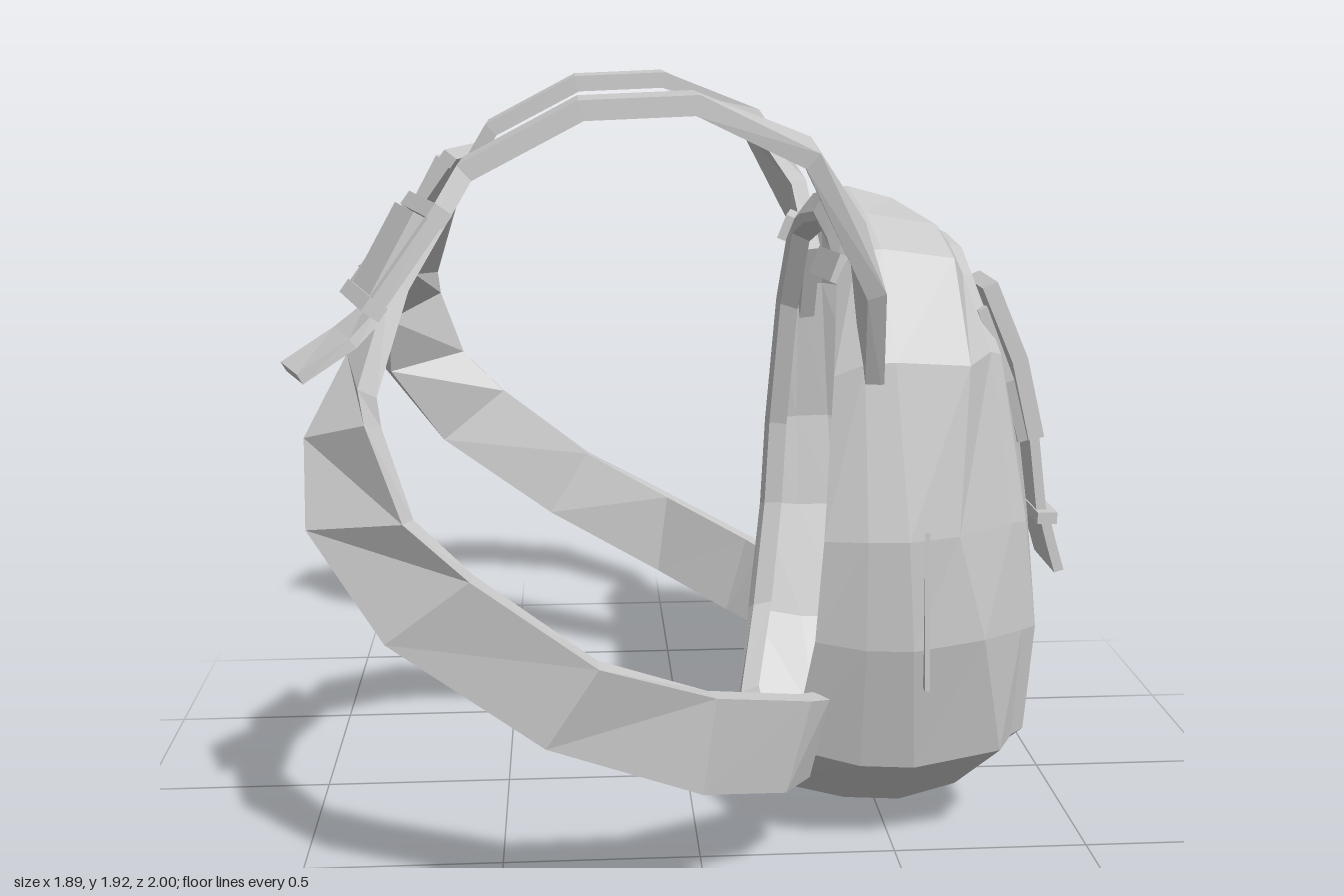
import * as THREE from 'three';

const material = new THREE.MeshStandardMaterial({ color: 0xcccccc, flatShading: true, side: THREE.DoubleSide });
const V = (x, y, z) => new THREE.Vector3(x, y, z);

// Piecewise-linear lookup in a short list of [input, output] pairs
function curve(points, t) {
  if (t <= points[0][0]) return points[0][1];
  for (let i = 1; i < points.length; i++) {
    const [t0, v0] = points[i - 1], [t1, v1] = points[i];
    if (t <= t1) return v0 + (v1 - v0) * (t - t0) / (t1 - t0);
  }
  return points[points.length - 1][1];
}

// Skin between closed rings of points, with optional end caps for four-sided rings
function loft(rings, capped) {
  const pos = [];
  const tri = (...pts) => pts.forEach(p => pos.push(p.x, p.y, p.z));
  for (let i = 0; i < rings.length - 1; i++) {
    const r = rings[i], q = rings[i + 1], n = r.length;
    for (let j = 0; j < n; j++) {
      const k = (j + 1) % n;
      tri(r[j], q[j], q[k]);
      tri(r[j], q[k], r[k]);
    }
  }
  if (capped) {
    const a = rings[0], b = rings[rings.length - 1];
    tri(a[0], a[1], a[2]); tri(a[0], a[2], a[3]);
    tri(b[0], b[2], b[1]); tri(b[0], b[3], b[2]);
  }
  const geometry = new THREE.BufferGeometry();
  geometry.setAttribute('position', new THREE.Float32BufferAttribute(pos, 3));
  geometry.computeVertexNormals();
  return geometry;
}

// Flat band between two edge lines; each section is [edgeA, edgeB]
function ribbon(sections, thickness) {
  const mids = sections.map(([a, b]) => a.clone().add(b).multiplyScalar(0.5));
  const rings = sections.map(([a, b], i) => {
    const along = mids[Math.min(i + 1, mids.length - 1)].clone().sub(mids[Math.max(i - 1, 0)]);
    const n = along.cross(b.clone().sub(a)).normalize().multiplyScalar(thickness / 2);
    return [a.clone().add(n), b.clone().add(n), b.clone().sub(n), a.clone().sub(n)];
  });
  return loft(rings, true);
}

function add(parent, name, geometry, x = 0, y = 0, z = 0, rz = 0) {
  const mesh = new THREE.Mesh(geometry, material);
  mesh.name = name;
  mesh.position.set(x, y, z);
  mesh.rotation.z = rz;
  parent.add(mesh);
  return mesh;
}
const box = (x, y, z) => new THREE.BoxGeometry(x, y, z);

// Bag profiles: outer face by height, drop toward the sides, sloping back rim
const FACE = [[0, 0.55], [0.05, 0.7], [0.32, 0.895], [0.5, 0.92], [0.8, 0.895], [1.05, 0.86], [1.25, 0.81], [1.5, 0.7], [1.6, 0.6], [1.65, 0.42]];
const DROP = [[0, 0], [0.27, 0.02], [0.5, 0.08], [0.6, 0.19], [0.68, 0.4]];
const RIM = [[0.07, 0.18], [0.15, 0.165], [0.28, 0.22], [0.5, 0.26], [1.2, 0.3], [1.55, 0.33]];
const faceX = (y, z) => curve(FACE, y) - curve(DROP, Math.abs(z));

// Half outlines [height, half width] of the body and of its squarer front pocket
const BODY = [[0, 0], [0.05, 0.3], [0.26, 0.57], [0.6, 0.66], [0.88, 0.68], [1.3, 0.62], [1.55, 0.5], [1.61, 0.28], [1.65, 0]];
const POCKET = [[0.09, 0], [0.12, 0.28], [0.3, 0.47], [0.6, 0.52], [0.88, 0.53], [1.3, 0.5], [1.48, 0.43], [1.53, 0.24], [1.54, 0]];

function bagShell() {
  const ring = (half, sy, sz, xAt) =>
    [...half, ...half.slice(1, -1).reverse().map(([y, z]) => [y, -z])].map(([y, z]) => {
      const py = 0.83 + (y - 0.83) * sy, pz = z * sz;
      return V(xAt(py, pz), py, pz);
    });
  const rim = y => curve(RIM, y);
  return loft([
    ring(BODY, 0.86, 0.87, y => rim(y) + 0.06),       // rim folded into the open back
    ring(BODY, 0.89, 0.9, y => rim(y) + 0.01),
    ring(BODY, 0.92, 0.95, rim),
    ring(BODY, 0.99, 0.99, y => 0.4 - 0.02 * y),
    ring(BODY, 1, 1, y => 0.55 - 0.08 * y),
    ring(BODY, 0.96, 0.93, faceX),
    ring(POCKET, 1, 1, (y, z) => faceX(y, z) - 0.01),
    ring(POCKET, 0.98, 0.97, (y, z) => faceX(y, z) + 0.01), // raised front pocket
    ring(POCKET, 0.74, 0.8, faceX),
    ring(POCKET, 0.45, 0.45, faceX),
    ring(POCKET, 0, 0, faceX),
  ], false);
}

// Shoulder strap edges [xyz, xyz]; the band makes a quarter twist near its far end
const STRAP = [
  [0.40, 1.42, 0.49, 0.40, 1.20, 0.60],
  [0.36, 1.61, 0.53, 0.38, 1.47, 0.72],
  [0.23, 1.80, 0.56, 0.22, 1.78, 0.80],
  [-0.03, 1.90, 0.575, -0.03, 1.90, 0.81],
  [-0.28, 1.89, 0.575, -0.28, 1.89, 0.81],
  [-0.53, 1.76, 0.585, -0.53, 1.76, 0.81],
  [-0.67, 1.53, 0.62, -0.67, 1.53, 0.87],
  [-0.79, 1.34, 0.68, -0.74, 1.31, 0.93],
  [-0.88, 1.18, 0.79, -0.73, 1.24, 0.94],
  [-0.88, 1.00, 0.87, -0.66, 1.04, 0.98],
  [-0.72, 0.76, 0.94, -0.53, 0.91, 0.975],
  [-0.38, 0.51, 0.945, -0.26, 0.70, 0.96],
  [-0.03, 0.34, 0.84, 0.00, 0.58, 0.85],
  [0.18, 0.26, 0.67, 0.24, 0.49, 0.66],
  [0.25, 0.25, 0.56, 0.29, 0.47, 0.60],
];

function shoulderStrap(side) {
  const group = new THREE.Group();
  group.name = side > 0 ? 'frontShoulderStrap' : 'rearShoulderStrap';
  const sections = STRAP.map(([ax, ay, az, bx, by, bz]) => {
    const pair = [V(ax, ay, az * side), V(bx, by, bz * side)];
    return side > 0 ? pair : pair.reverse();
  });
  add(group, 'strapBand', ribbon(sections, 0.045));

  // Adjuster buckle: frame, middle pad and loose strap end
  const buckle = new THREE.Group();
  buckle.name = 'strapBuckle';
  buckle.position.set(-0.67, 1.565, 0.745 * side);
  buckle.rotation.set(0, 0.28 * side, Math.PI / 3.4, 'YXZ');
  group.add(buckle);
  for (const s of [-1, 1]) {
    add(buckle, 'buckleSide', box(0.25, 0.035, 0.03), 0, 0.025, s * 0.125);
    add(buckle, 'buckleEnd', box(0.035, 0.045, 0.28), s * 0.12, 0.025, 0);
  }
  add(buckle, 'bucklePad', box(0.2, 0.03, 0.21), 0, 0.04, 0, 0.12);
  add(group, 'looseEnd', ribbon([
    [V(-0.75, 1.46, 0.66 * side), V(-0.71, 1.47, 0.86 * side)],
    [V(-0.83, 1.40, 0.68 * side), V(-0.77, 1.41, 0.89 * side)],
    [V(-0.94, 1.335, 0.75 * side), V(-0.88, 1.34, 0.92 * side)],
  ], 0.025));
  return group;
}

function pocketStrap(side) {
  const group = new THREE.Group();
  group.name = 'pocketStrap';
  const z = 0.265 * side, w = 0.1;
  const at = (y, lift, x = faceX(y, z)) => [V(x + lift, y, z - w), V(x + lift, y, z + w)];
  add(group, 'strapUpper', ribbon([1.44, 1.25, 1.05].map(y => at(y, 0.015)), 0.04));
  add(group, 'strapLower', ribbon([at(1.05, 0.01), at(0.86, 0.01)], 0.025));
  add(group, 'clasp', box(0.05, 0.03, 0.26), 0.885, 0.85, z);
  add(group, 'strapTongue', ribbon([at(0.85, 0, 0.885), at(0.78, 0, 0.905), at(0.7, 0, 0.93)], 0.025));
  return group;
}

export function createModel() {
  const model = new THREE.Group();
  model.name = 'backpack';
  add(model, 'bagShell', bagShell());
  for (const side of [1, -1]) {
    model.add(shoulderStrap(side), pocketStrap(side));
    // Short seam, narrow side seam and small tab inside the top rim
    add(model, 'pocketSeam', box(0.012, 0.008, 0.11), 0.86, 1.05, 0.075 * side);
    add(model, 'sideSeam', box(0.012, 0.4, 0.02), 0.53, 0.7, 0.655 * side, 0.03);
    add(model, 'rimTab', box(0.07, 0.025, 0.15), 0.315, 1.5, 0.41 * side, 1.2).rotation.y = 0.2 * side;
    // Front pocket piping near the upper corners
    const piping = [1.4, 1.22, 1.06].map((y, i) => {
      const z = [0.46, 0.46, 0.42][i] * side, x = faceX(y, z) + 0.005;
      return [V(x, y, z - 0.012), V(x, y, z + 0.012)];
    });
    add(model, 'pocketPiping', ribbon(piping, 0.025));
  }
  return model;
}
